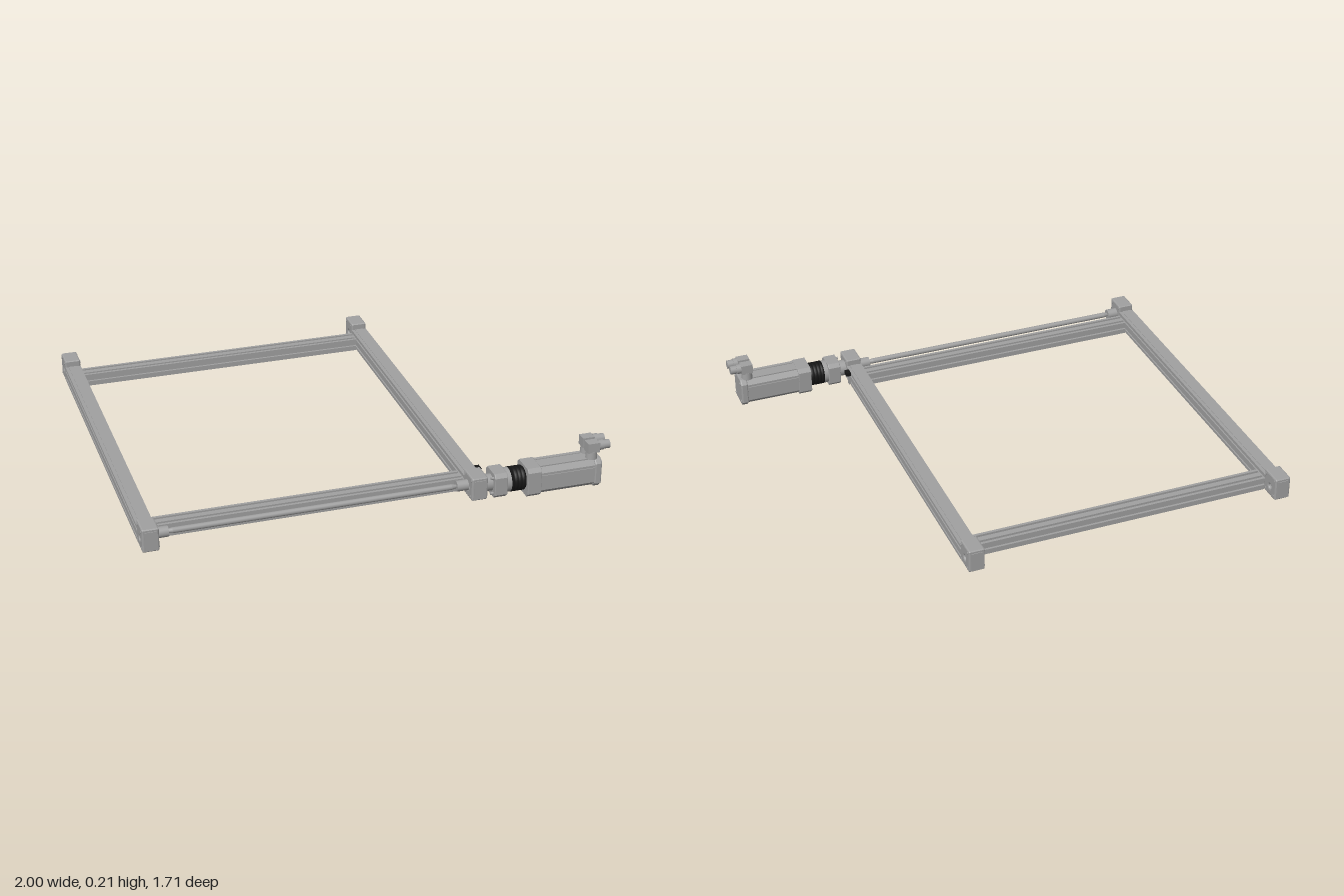
import * as THREE from 'three';

const grey = new THREE.MeshStandardMaterial({ color: 0xa0a0a0 });
grey.name = 'aluminium grey';
const black = new THREE.MeshStandardMaterial({ color: 0x161616 });
black.name = 'clamp black';

// Rectangle with T-slot style grooves: nx on top and bottom, ny on each side
function slottedShape(w, h, nx, ny, slot = 0.012, depth = 0.01) {
  const pts = [];
  const side = (len, off, n, angle) => {
    const c = Math.cos(angle), s = Math.sin(angle);
    const add = (u, v) => pts.push(new THREE.Vector2(u * c - v * s, u * s + v * c));
    add(-len / 2, -off);
    for (let i = 0; i < n; i++) {
      const m = -len / 2 + len * (i + 0.5) / n;
      add(m - slot / 2, -off);
      add(m - slot / 2, -off + depth);
      add(m + slot / 2, -off + depth);
      add(m + slot / 2, -off);
    }
  };
  side(w, h / 2, nx, 0);
  side(h, w / 2, ny, Math.PI / 2);
  side(w, h / 2, nx, Math.PI);
  side(h, w / 2, ny, -Math.PI / 2);
  return new THREE.Shape(pts);
}

// Rectangle with cut corners
function chamferShape(w, h, c) {
  const a = w / 2, b = h / 2;
  return new THREE.Shape([
    [-a + c, -b], [a - c, -b], [a, -b + c], [a, b - c],
    [a - c, b], [-a + c, b], [-a, b - c], [-a, -b + c],
  ].map(([x, y]) => new THREE.Vector2(x, y)));
}

export function createModel() {
  const model = new THREE.Group();
  model.name = 'beltDrivenFrame';

  const add = (name, geometry, x, y, z, material = grey) => {
    const mesh = new THREE.Mesh(geometry, material);
    mesh.name = name;
    mesh.position.set(x, y, z);
    model.add(mesh);
    return mesh;
  };
  const box = (name, x0, x1, y0, y1, z0, z1, material) =>
    add(name, new THREE.BoxGeometry(x1 - x0, y1 - y0, z1 - z0),
      (x0 + x1) / 2, (y0 + y1) / 2, (z0 + z1) / 2, material);
  // Extrusion running along x, with an optional bevel kept inside x0..x1
  const extrudeX = (name, shape, x0, x1, y, z, bevel = 0, material = grey) => {
    const g = new THREE.ExtrudeGeometry(shape, {
      depth: x1 - x0 - 2 * bevel, bevelEnabled: bevel > 0, bevelSize: bevel,
      bevelOffset: -bevel, bevelThickness: bevel, bevelSegments: 2, curveSegments: 16,
    });
    g.translate(0, 0, bevel);
    g.rotateY(Math.PI / 2);
    return add(name, g, x0, y, z, material);
  };
  const rodX = (name, r, x0, x1, y, z, material = grey, r1 = r) => {
    const g = new THREE.CylinderGeometry(r1, r, x1 - x0, 24);
    g.rotateZ(-Math.PI / 2);
    return add(name, g, (x0 + x1) / 2, y, z, material);
  };

  // Long side rails with pulley housings at both ends
  for (const [side, x] of [['right', -0.965], ['left', 0.42]]) {
    const rail = new THREE.ExtrudeGeometry(slottedShape(0.07, 0.07, 0, 2, 0.01, 0.006),
      { depth: 1.5, bevelEnabled: false });
    rail.translate(0, 0, -0.755);
    add(side + 'Rail', rail, x, 0.06, 0);
    box(side + 'RailBelt', x - 0.02, x + 0.02, 0.093, 0.097, -0.755, 0.745);
    for (const [end, z, dir] of [['Rear', -0.803, -1], ['Front', 0.793, 1]]) {
      const shape = chamferShape(0.098, 0.102, 0.004);
      const hole = new THREE.Path();
      hole.absarc(0, -0.008, 0.012, 0, Math.PI * 2, true);
      shape.holes.push(hole);
      extrudeX(side + end + 'PulleyHousing', shape, x - 0.035, x + 0.035, 0.073, z, 0.006);
      // Housing screws and end cover
      for (const dy of [-0.036, 0.036]) for (const dz of [-0.034, 0.034])
        rodX('housingScrew', 0.006, x - 0.037, x + 0.037, 0.073 + dy, z + dz);
      box(side + end + 'EndCover', x - 0.024, x + 0.024, 0.032, 0.112,
        z + dir * 0.049 - 0.003, z + dir * 0.049 + 0.003);
      // Small bracket below the rail
      box('railFoot', x - 0.03, x + 0.03, 0.02, 0.027, z - dir * 0.1 - 0.025, z - dir * 0.1 + 0.025);
    }
  }

  // Slotted cross beams
  for (const [name, z] of [['rearBeam', -0.722], ['frontBeam', 0.705]])
    extrudeX(name, slottedShape(0.074, 0.056, 2, 1), -0.93, 0.385, 0.05, z);

  // Synchronising shaft with end couplings
  const sy = 0.072, sz = 0.785;
  rodX('syncShaft', 0.012, -0.865, 0.315, sy, sz);
  rodX('shaftEnd', 0.007, -0.89, -0.865, sy, sz, grey, 0.012);
  rodX('shaftEnd', 0.012, 0.315, 0.34, sy, sz, grey, 0.007);
  rodX('coupling', 0.023, -0.93, -0.883, sy, sz);
  rodX('coupling', 0.023, 0.335, 0.385, sy, sz);

  // Limit sensor on the rail
  box('sensor', 0.455, 0.476, 0.08, 0.096, 0.68, 0.715, black);
  box('sensorMount', 0.455, 0.463, 0.03, 0.08, 0.69, 0.705);

  // Motor adapter
  const my = 0.068, mz = 0.785;
  rodX('adapterNeck', 0.036, 0.45, 0.492, my, mz);
  extrudeX('adapterFlange', chamferShape(0.108, 0.11, 0.016), 0.488, 0.545, my, mz, 0.003);
  rodX('adapterCollar', 0.052, 0.545, 0.567, my, mz);
  for (const dy of [-0.035, 0.035])
    rodX('adapterBolt', 0.006, 0.475, 0.49, my + dy, mz + 0.035);

  // Black ribbed gearbox ring
  const ribs = [[0, 0]];
  for (let i = 0; i < 4; i++) {
    const h = i * 0.0165;
    ribs.push([0.053, h], [0.053, h + 0.011], [0.049, h + 0.0115], [0.049, h + 0.016]);
  }
  ribs.push([0, 0.066]);
  const ring = new THREE.LatheGeometry(ribs.map(([r, h]) => new THREE.Vector2(r, h)), 32);
  ring.rotateZ(-Math.PI / 2);
  add('gearboxRing', ring, 0.565, my, mz, black);

  // Motor body, side ribs and rear cap
  const cy = 0.066, cz = 0.789;
  extrudeX('motorFlange', chamferShape(0.124, 0.13, 0.016), 0.63, 0.69, cy, cz, 0.002);
  extrudeX('motorBody', chamferShape(0.116, 0.124, 0.022), 0.69, 0.935, cy, cz);
  extrudeX('motorRearCap', chamferShape(0.124, 0.132, 0.02), 0.93, 0.962, cy, cz, 0.006);
  for (const s of [-1, 1]) {
    box('motorTopRib', 0.69, 0.93, 0.125, 0.131, cz + s * 0.03 - 0.008, cz + s * 0.03 + 0.008);
    box('motorSideRib', 0.69, 0.93, cy - 0.03, cy + 0.03, cz + s * 0.06 - 0.002, cz + s * 0.06 + 0.002);
    for (const t of [-1, 1])
      rodX('motorScrew', 0.007, 0.958, 0.965, cy + s * 0.046, cz + t * 0.042);
  }

  // Two angled plug connectors
  for (const z of [0.761, 0.817]) {
    add('plugBase', new THREE.CylinderGeometry(0.023, 0.025, 0.035, 20), 0.924, 0.147, z);
    box('plugElbow', 0.899, 0.952, 0.16, 0.204, z - 0.021, z + 0.021);
    rodX('plugNut', 0.022, 0.95, 0.972, 0.184, z);
    rodX('plugTip', 0.019, 0.97, 1.0, 0.184, z);
  }
  return model;
}
